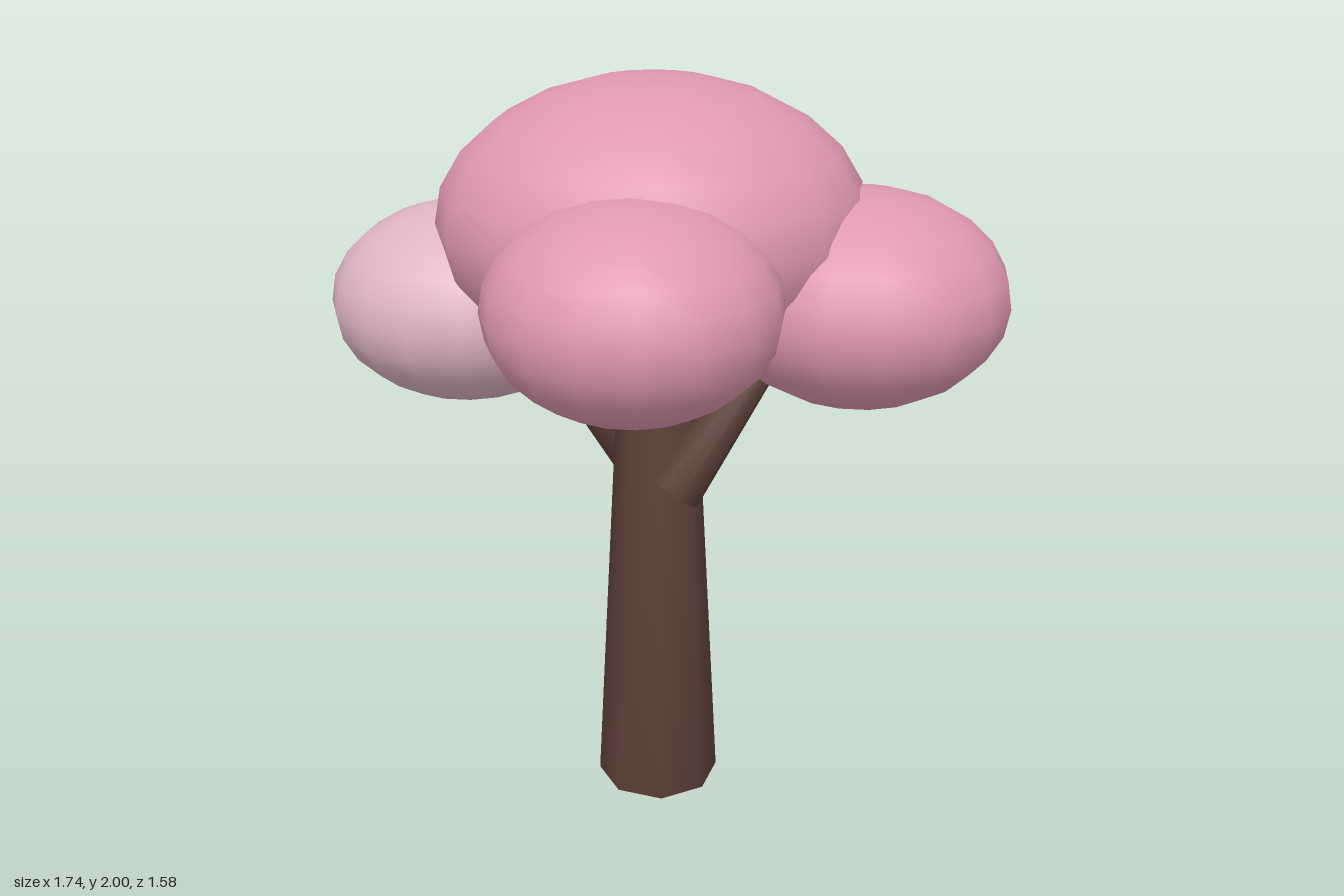
import * as THREE from 'three';
import { mergeVertices } from 'three/addons/utils/BufferGeometryUtils.js';

const mat = (name, color) => {
  const m = new THREE.MeshStandardMaterial({ color });
  m.name = name;
  return m;
};

// Tapered eight-sided limb between two points, softly shaded over its ends
function limb(name, from, to, rBottom, rTop, material) {
  const a = new THREE.Vector3(...from), b = new THREE.Vector3(...to);
  const dir = b.clone().sub(a);
  let geo = new THREE.CylinderGeometry(rTop, rBottom, dir.length(), 8);
  geo.deleteAttribute('uv');
  geo.deleteAttribute('normal');
  geo = mergeVertices(geo);
  geo.computeVertexNormals();
  const mesh = new THREE.Mesh(geo, material);
  mesh.name = name;
  mesh.position.copy(a).add(b).multiplyScalar(0.5);
  mesh.quaternion.setFromUnitVectors(new THREE.Vector3(0, 1, 0), dir.normalize());
  return mesh;
}

export function createModel() {
  const tree = new THREE.Group();
  tree.name = 'blossomTree';
  const bark = mat('bark brown', 0x5d4037);
  const pink = mat('blossom pink', 0xe098b2);
  const pale = mat('pale blossom', 0xdfb4c4);

  // Trunk and its two branches
  tree.add(
    limb('trunk', [-0.02, 0, 0.015], [-0.02, 1.12, 0.015], 0.17, 0.11, bark),
    limb('leftBranch', [0.02, 0.93, 0.135], [0.28, 1.32, 0.055], 0.07, 0.05, bark),
    limb('rightBranch', [-0.07, 0.93, -0.125], [-0.275, 1.26, -0.04], 0.07, 0.05, bark)
  );

  // Canopy of flattened blossom clumps: name, centre, radii, colour
  const ball = new THREE.SphereGeometry(1, 16, 12);
  const clumps = [
    ['crownClump', [-0.03, 1.63, 0.005], [0.55, 0.37, 0.505], pink],
    ['leftClump', [0.49, 1.455, 0.11], [0.38, 0.275, 0.37], pink],
    ['rightClump', [-0.51, 1.4, -0.12], [0.36, 0.26, 0.35], pale],
    ['frontClump', [-0.1, 1.533, 0.435], [0.355, 0.263, 0.35], pink],
    ['backClump', [0.03, 1.505, -0.45], [0.342, 0.25, 0.342], pale],
  ];
  for (const [name, centre, radii, material] of clumps) {
    const clump = new THREE.Mesh(ball, material);
    clump.name = name;
    clump.position.set(...centre);
    clump.scale.set(...radii);
    tree.add(clump);
  }
  return tree;
}
